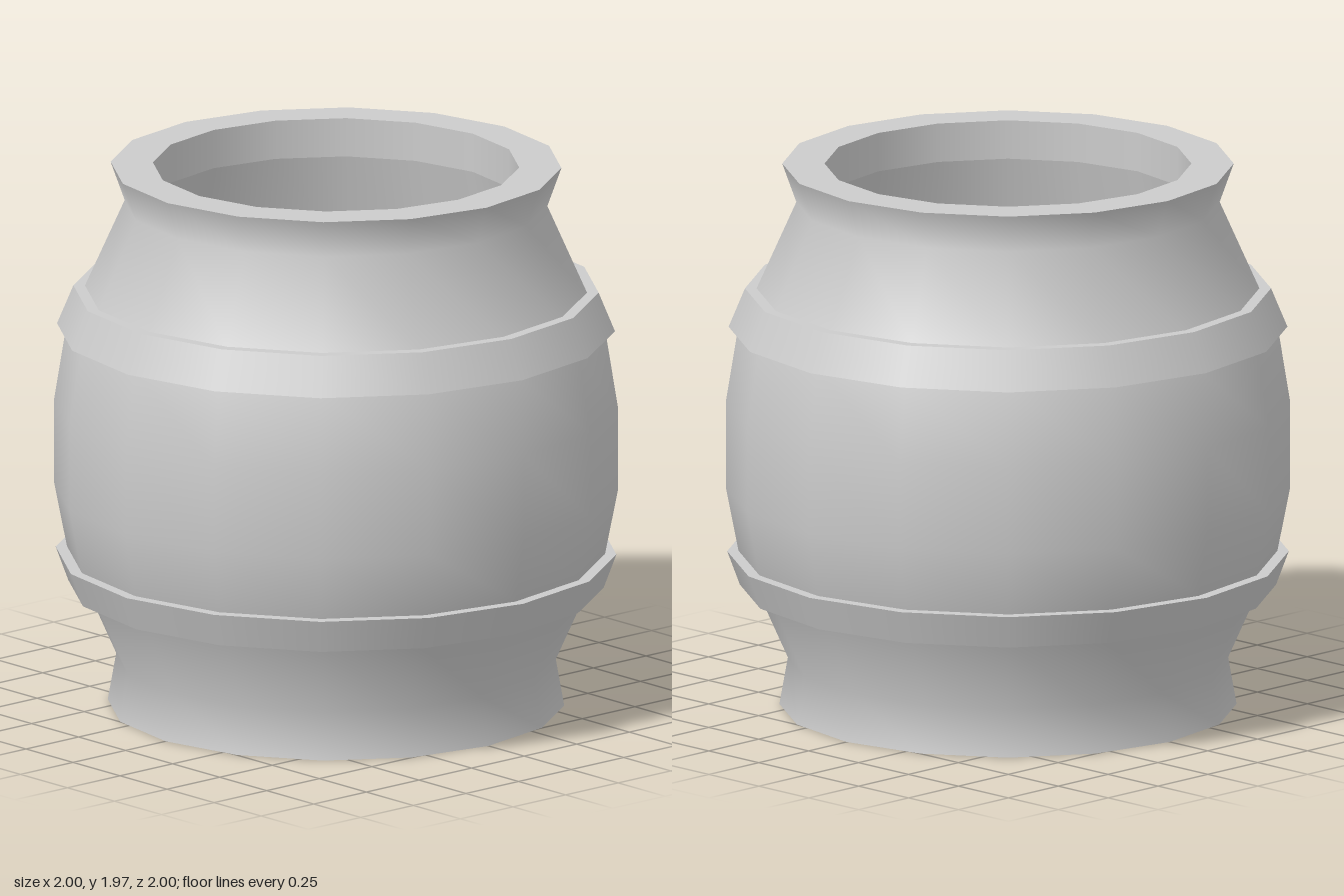
import * as THREE from 'three';
import { mergeGeometries } from 'three/addons/utils/BufferGeometryUtils.js';

const SIDES = 16;

// Smooth surface of revolution; profile points are [radius, height], outside on the right of travel.
function turned(profile) {
  return new THREE.LatheGeometry(profile.map(([r, y]) => new THREE.Vector2(r, y)), SIDES);
}

// Surface of revolution with a sharp edge at every profile point.
function sharpTurned(profile) {
  return mergeGeometries(profile.slice(1).map((p, i) => turned([profile[i], p])));
}

export function createModel() {
  const group = new THREE.Group();
  const material = new THREE.MeshStandardMaterial({ color: 0xcccccc });
  const add = (name, geometry) => {
    const mesh = new THREE.Mesh(geometry, material);
    mesh.name = name;
    group.add(mesh);
  };

  // Bulging outer wall with pinched foot and neck
  add('barrelWall', turned([
    [0.81, 0], [0.78, 0.17], [0.895, 0.43], [0.955, 0.56], [1, 0.79],
    [1, 1.1], [0.955, 1.38], [0.893, 1.51], [0.75, 1.83], [0.8, 1.97],
  ]));

  // Closed underside
  add('base', turned([[0, 0], [0.81, 0]]));

  // Flat rim, inner lip, recessed inner wall and floor
  add('rimAndInterior', sharpTurned([
    [0.8, 1.97], [0.65, 1.97], [0.65, 1.83], [0.74, 1.455], [0, 1.455],
  ]));

  // Flared hoops around the wall
  add('lowerHoop', sharpTurned([[0.89, 0.435], [0.95, 0.435], [0.995, 0.557], [0.95, 0.557]]));
  add('upperHoop', sharpTurned([[0.95, 1.375], [0.99, 1.375], [0.932, 1.515], [0.885, 1.515]]));

  return group;
}
